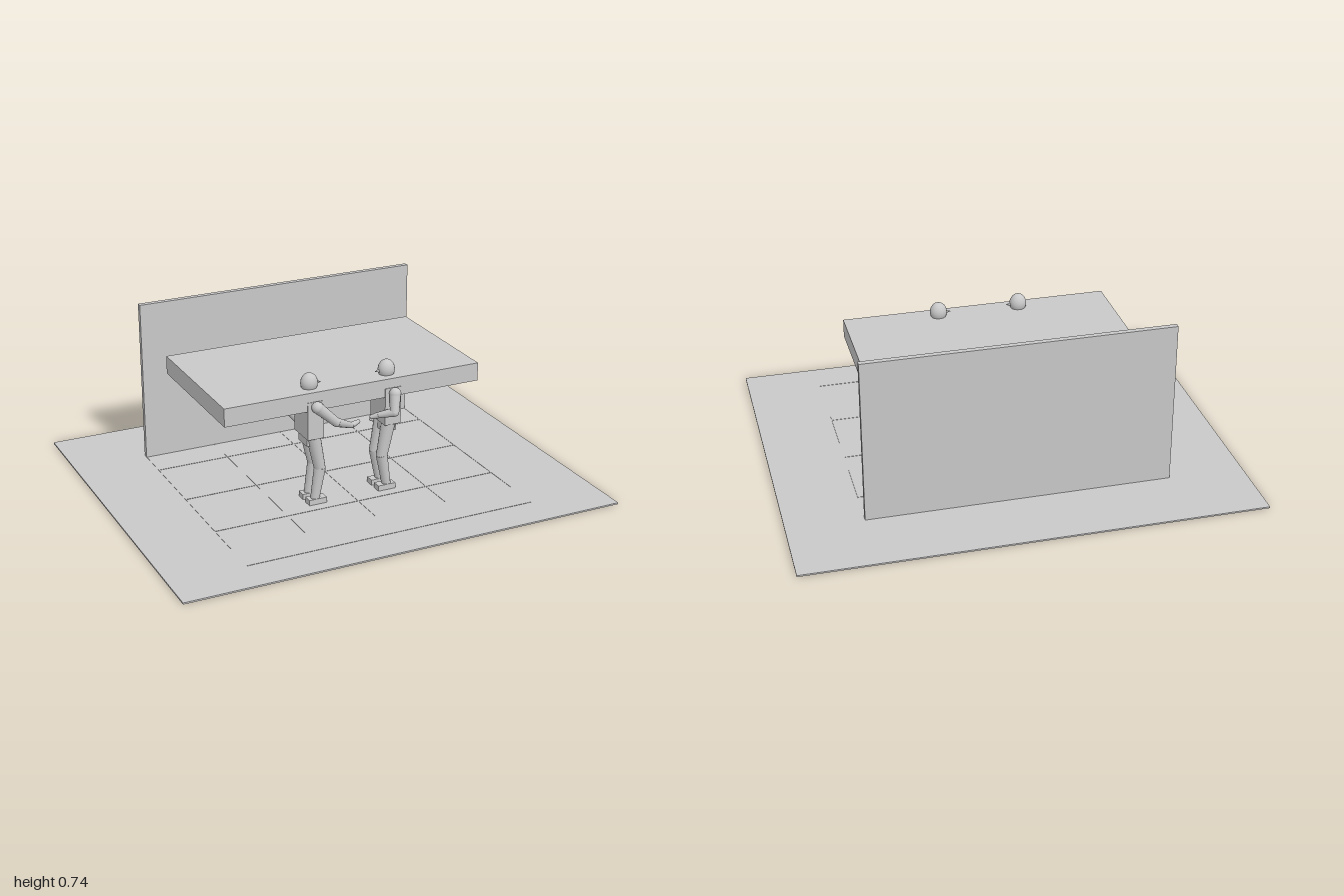
import * as THREE from 'three';

const grey = new THREE.MeshStandardMaterial({ color: 0xc8c8c8 });
grey.name = 'plain grey';

function add(parent, name, geometry, x = 0, y = 0, z = 0) {
  const mesh = new THREE.Mesh(geometry, grey);
  mesh.name = name;
  mesh.position.set(x, y, z);
  parent.add(mesh);
  return mesh;
}

// Box given by its lower and upper limits
function block(parent, name, [x0, x1], [y0, y1], [z0, z1]) {
  return add(parent, name, new THREE.BoxGeometry(x1 - x0, y1 - y0, z1 - z0),
    (x0 + x1) / 2, (y0 + y1) / 2, (z0 + z1) / 2);
}

// Tapered limb from point a (radius ra) to point b (radius rb)
function limb(parent, name, a, b, ra, rb) {
  const p = new THREE.Vector3(...a), q = new THREE.Vector3(...b);
  const dir = q.clone().sub(p);
  const mesh = add(parent, name, new THREE.CylinderGeometry(rb, ra, dir.length(), 14));
  mesh.position.copy(p).add(q).multiplyScalar(0.5);
  mesh.quaternion.setFromUnitVectors(new THREE.Vector3(0, 1, 0), dir.normalize());
  return mesh;
}

function joint(parent, name, p, r) {
  return add(parent, name, new THREE.SphereGeometry(r, 14, 10), ...p);
}

// Arm: shoulder, elbow, wrist and fingertip points
function arm(parent, name, [shoulder, elbow, wrist, tip]) {
  const g = new THREE.Group();
  g.name = name;
  joint(g, 'shoulder', shoulder, 0.026);
  limb(g, 'upperArm', shoulder, elbow, 0.025, 0.02);
  joint(g, 'elbow', elbow, 0.02);
  limb(g, 'forearm', elbow, wrist, 0.02, 0.013);
  limb(g, 'hand', wrist, tip, 0.014, 0.009);
  parent.add(g);
}

// Figure facing +x, standing on y = 0, centred on its own z = 0
function figure(name, arms) {
  const g = new THREE.Group();
  g.name = name;

  // Egg-shaped head with a flatter, narrower jaw, and a pointed nose
  const profile = [[0, -0.045], [0.017, -0.042], [0.029, -0.03], [0.036, -0.012], [0.038, 0]];
  for (let i = 1; i <= 6; i++) {
    const t = (i / 6) * Math.PI / 2;
    profile.push([i === 6 ? 0 : 0.038 * Math.cos(t), 0.045 * Math.sin(t)]);
  }
  const head = add(g, 'head', new THREE.LatheGeometry(profile.map(p => new THREE.Vector2(...p)), 20), 0, 0.552, 0);
  head.scale.z = 0.92;
  limb(g, 'nose', [0.033, 0.549, 0], [0.054, 0.549, 0], 0.008, 0.001);
  limb(g, 'neck', [0, 0.485, 0], [0, 0.525, 0], 0.02, 0.018);

  block(g, 'chest', [-0.038, 0.038], [0.32, 0.49], [-0.068, 0.068]);
  block(g, 'pelvis', [-0.03, 0.032], [0.28, 0.32], [-0.042, 0.042]);

  // Bent legs
  for (const s of [-1, 1]) {
    const z = s * 0.033;
    const leg = new THREE.Group();
    leg.name = s < 0 ? 'leftLeg' : 'rightLeg';
    limb(leg, 'thigh', [0.004, 0.318, z], [0.034, 0.165, z], 0.031, 0.025);
    joint(leg, 'knee', [0.034, 0.165, z], 0.025);
    limb(leg, 'shin', [0.034, 0.17, z], [0.01, 0.028, z], 0.026, 0.02);
    block(leg, 'foot', [-0.025, 0.058], [0.007, 0.032], [z - 0.021, z + 0.021]);
    g.add(leg);
  }

  for (const [armName, points] of Object.entries(arms)) arm(g, armName, points);
  return g;
}

export function createModel() {
  const model = new THREE.Group();
  model.name = 'stageWithTwoFigures';

  // Floor, back wall and raised slab
  block(model, 'floor', [-1, 1], [0, 0.007], [-0.832, 0.832]);
  block(model, 'backWall', [-0.667, 0.667], [0.007, 0.74], [-0.512, -0.488]);
  block(model, 'slab', [-0.597, 0.597], [0.45, 0.532], [-0.367, 0.297]);

  // Thin grid lines on the floor
  const w = 0.0015, y = [0.007, 0.0085];
  for (const x of [-0.665, -0.333, 0, 0.333, 0.665])
    block(model, 'floorLineLengthwise', [x - w, x + w], y, [-0.488, 0.5]);
  for (const z of [-0.333, 0, 0.333, 0.665])
    block(model, 'floorLineCrosswise', [-0.667, 0.667], y, [z - w, z + w]);

  // Arm bent back with the hand at the hip
  const restingArm = s => [
    [-0.005, 0.455, s * 0.085], [-0.04, 0.39, s * 0.107],
    [0.005, 0.325, s * 0.09], [0.03, 0.285, s * 0.08],
  ];

  const reaching = figure('reachingFigure', {
    rightArm: [[0, 0.47, 0.083], [0.09, 0.385, 0.078], [0.185, 0.335, 0.03], [0.23, 0.337, 0.01]],
    leftArm: restingArm(-1),
  });
  reaching.position.set(-0.185, 0, 0.232);
  model.add(reaching);

  const receiving = figure('receivingFigure', {
    leftArm: [[0, 0.47, -0.085], [0.014, 0.395, -0.108], [0.068, 0.375, -0.065], [0.097, 0.362, -0.045]],
    rightArm: restingArm(1),
  });
  receiving.position.set(0.18, 0, 0.232);
  receiving.rotation.y = Math.PI;
  model.add(receiving);

  return model;
}
